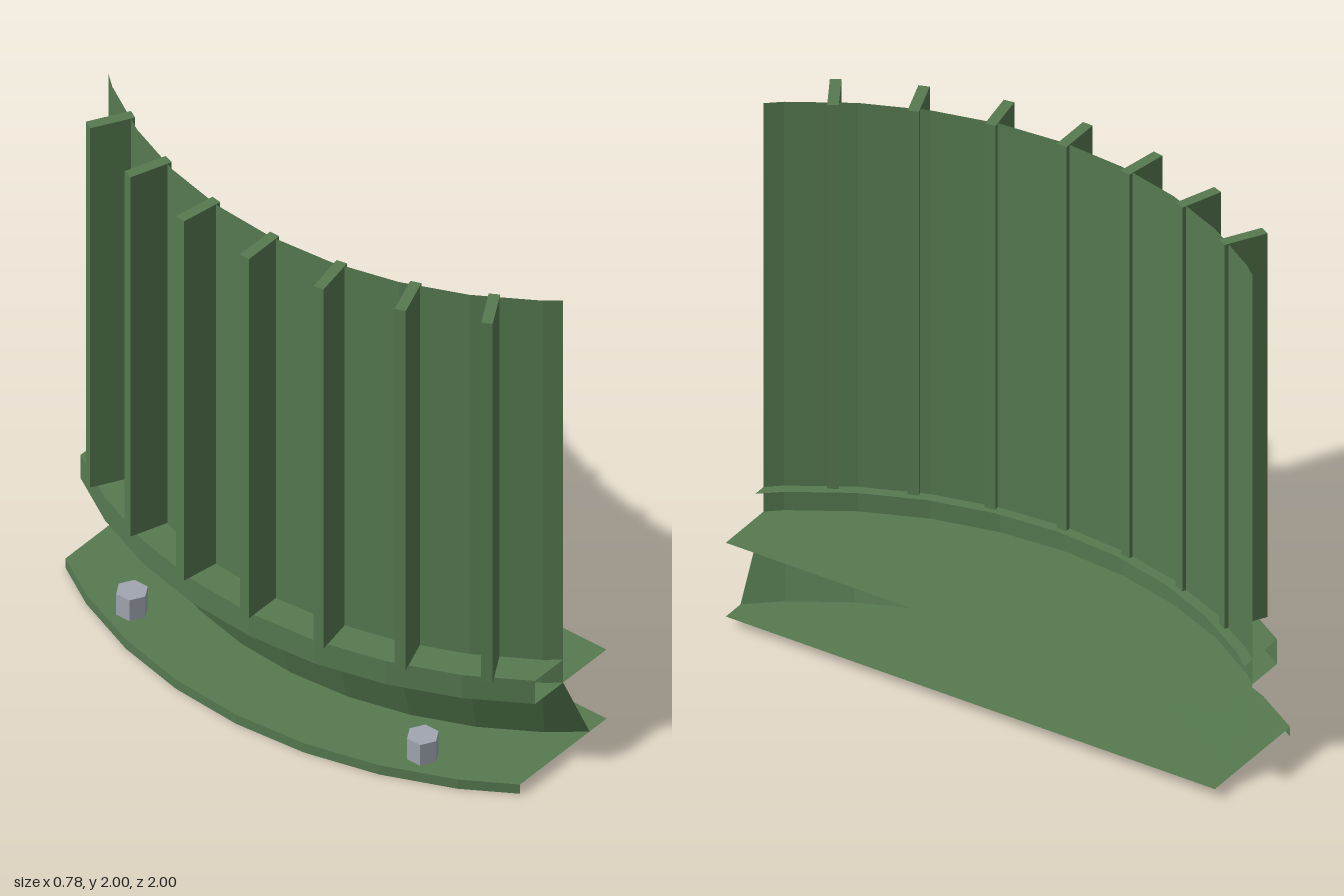
import * as THREE from 'three';

const CX = 1.41;      // x of the common centre of all arcs
const BACK = 0.39;    // x of the straight edge of the plates
const STEP = Math.PI / 20;

const green = new THREE.MeshStandardMaterial({ color: 0x567a50, flatShading: true, side: THREE.DoubleSide });
const steel = new THREE.MeshStandardMaterial({ color: 0xa0a6b0, flatShading: true });

// Faceted arc of radius r in plan, as [x, z] points cut off at z = -1 and z = 1
function arc(r) {
  const at = i => [CX - r * Math.cos(i * STEP), r * Math.sin(i * STEP)];
  const half = [];
  let i = 0;
  for (; at(i)[1] < 1; i++) half.push(at(i));
  const [a, b] = [at(i - 1), at(i)];
  const t = (1 - a[1]) / (b[1] - a[1]);
  half.push([a[0] + (b[0] - a[0]) * t, 1]);
  const mirrored = half.slice(1).reverse().map(([x, z]) => [x, -z]);
  return [...mirrored, ...half];
}

// Curved sheet between an arc at a low level and an arc at a high level
function sheet(name, rLow, yLow, rHigh, yHigh) {
  const low = arc(rLow), high = arc(rHigh), pos = [], index = [];
  low.forEach(([x, z], i) => {
    pos.push(x, yLow, z, high[i][0], yHigh, high[i][1]);
    if (i < low.length - 1) {
      const k = 2 * i;
      index.push(k, k + 2, k + 1, k + 1, k + 2, k + 3);
    }
  });
  const geo = new THREE.BufferGeometry();
  geo.setAttribute('position', new THREE.Float32BufferAttribute(pos, 3));
  geo.setIndex(index);
  geo.computeVertexNormals();
  return named(name, geo, green);
}

// Flat horizontal sheet with the given plan outline
function plate(name, outline, y) {
  const shape = new THREE.Shape(outline.map(([x, z]) => new THREE.Vector2(x, -z)));
  const geo = new THREE.ShapeGeometry(shape);
  geo.rotateX(-Math.PI / 2);
  geo.translate(0, y, 0);
  return named(name, geo, green);
}

function named(name, geo, mat) {
  const mesh = new THREE.Mesh(geo, mat);
  mesh.name = name;
  return mesh;
}

export function createModel() {
  const model = new THREE.Group();
  model.name = 'curvedRibbedPanel';
  const toStraightEdge = r => [...arc(r), [BACK, 1], [BACK, -1]];

  // Base plate with a short rim turned down along its arc
  model.add(plate('basePlate', toStraightEdge(1.8), 0.04));
  model.add(sheet('baseRim', 1.8, 0, 1.8, 0.04));

  // Sloping foot that carries the upper plate
  model.add(sheet('slopingFoot', 1.5, 0.04, 1.61, 0.34));

  // Upper plate, band around it and ledge on top
  model.add(plate('upperPlate', toStraightEdge(1.73), 0.34));
  model.add(sheet('band', 1.73, 0.34, 1.73, 0.44));
  model.add(plate('ledge', [...arc(1.73), ...arc(1.57).reverse()], 0.44));

  // Tall curved wall
  model.add(sheet('wall', 1.61, 0.34, 1.61, 2));

  // Radial ribs that pass slightly through the wall
  const inner = 1.59, outer = 1.755, mid = (inner + outer) / 2;
  for (let i = -3; i <= 3; i++) {
    const a = i * Math.PI / 18;
    const rib = named('rib', new THREE.BoxGeometry(outer - inner, 1.56, 0.04), green);
    rib.position.set(CX - mid * Math.cos(a), 1.22, mid * Math.sin(a));
    rib.rotation.y = a;
    model.add(rib);
  }

  // Hexagonal bolts on the base plate
  for (const side of [-1, 1]) {
    const bolt = named('bolt', new THREE.CylinderGeometry(0.058, 0.058, 0.092, 6), steel);
    bolt.position.set(-0.165, 0.084, side * 0.64);
    model.add(bolt);
  }
  return model;
}
